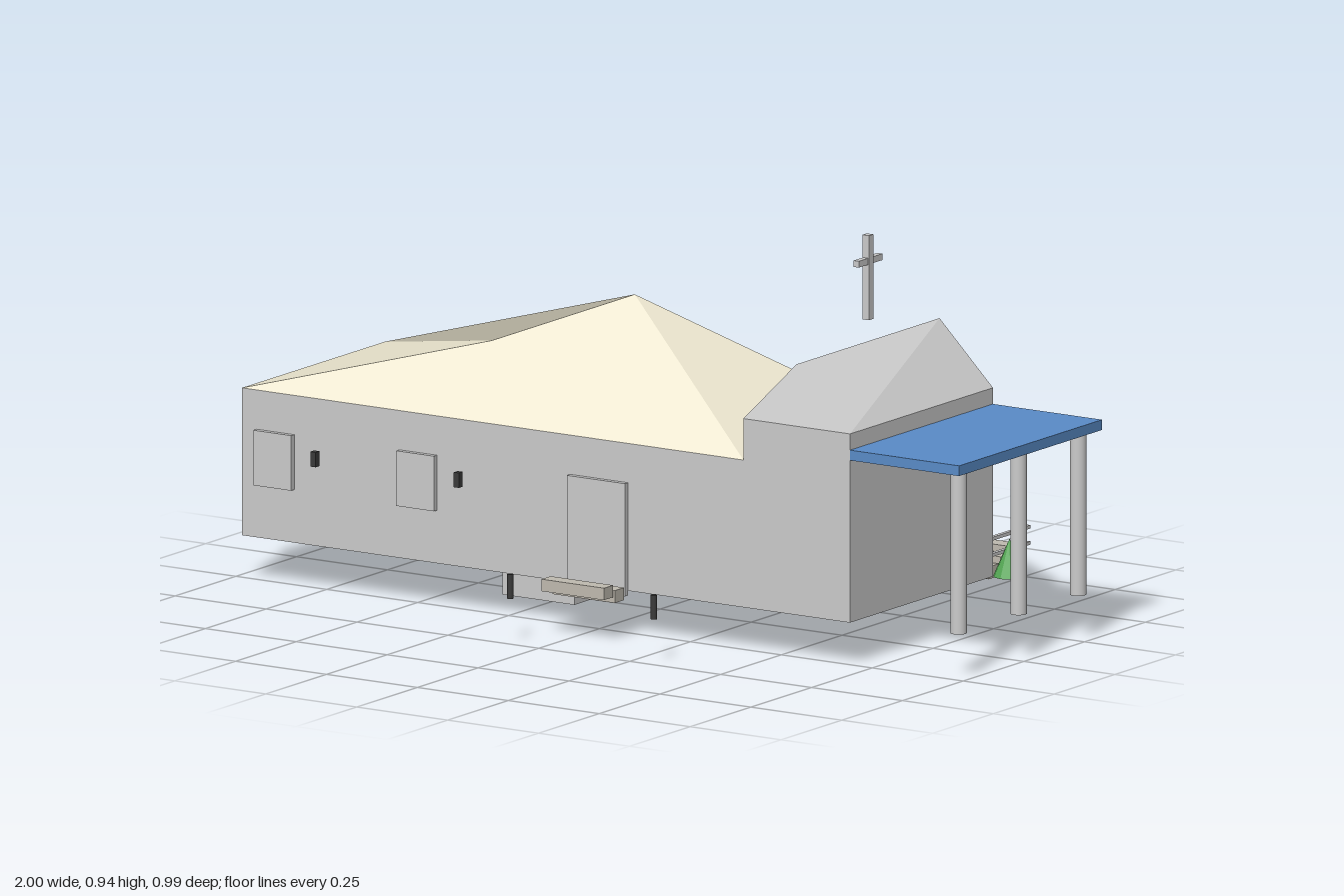
import * as THREE from 'three';

const mat = (color, extra = {}) => new THREE.MeshStandardMaterial({ color, ...extra });
const GREY = mat(0xcccccc), CREAM = mat(0xece6cf), BLUE = mat(0x5a8cc8), STONE = mat(0xc0bbb0);
const DARK = mat(0x3a3a3a), WOOD = mat(0xb07a45), PURPLE = mat(0x9a70c8);
const GREEN = mat(0x55a855, { flatShading: true });

// Shared depth of the building and ground level of its walls
const FRONT = 0.267, BACK = -0.322, MID = (FRONT + BACK) / 2, BASE = 0.103;

export function createModel() {
  const root = new THREE.Group();
  root.name = 'chapel';

  const add = (name, geometry, material, x = 0, y = 0, z = 0) => {
    const mesh = new THREE.Mesh(geometry, material);
    mesh.name = name;
    mesh.position.set(x, y, z);
    root.add(mesh);
    return mesh;
  };
  // Box given by its extents on each axis
  const box = (name, material, [x0, x1], [y0, y1], [z0, z1]) =>
    add(name, new THREE.BoxGeometry(x1 - x0, y1 - y0, z1 - z0), material,
      (x0 + x1) / 2, (y0 + y1) / 2, (z0 + z1) / 2);

  // Roof of two bent quads and two triangles, one shading normal per face
  const roof = (name, material, x0, x1, xr, eave, top) => {
    const fl = new THREE.Vector3(x0, eave, FRONT), fr = new THREE.Vector3(x1, eave, FRONT);
    const bl = new THREE.Vector3(x0, eave, BACK), br = new THREE.Vector3(x1, eave, BACK);
    const rf = new THREE.Vector3(xr, top, FRONT), rb = new THREE.Vector3(xr, top, BACK);
    const faces = [
      [[fl, fr, rf], [fr, rb, rf]],
      [[br, bl, rb], [bl, rf, rb]],
      [[bl, fl, rf]],
      [[fr, br, rb]],
      [[fl, bl, br], [fl, br, fr]],
    ];
    const positions = [], normals = [];
    for (const face of faces) {
      const normal = new THREE.Vector3();
      for (const [a, b, c] of face) {
        normal.add(b.clone().sub(a).cross(c.clone().sub(a)));
      }
      normal.normalize();
      for (const p of face.flat()) {
        positions.push(p.x, p.y, p.z);
        normals.push(normal.x, normal.y, normal.z);
      }
    }
    const geometry = new THREE.BufferGeometry();
    geometry.setAttribute('position', new THREE.Float32BufferAttribute(positions, 3));
    geometry.setAttribute('normal', new THREE.Float32BufferAttribute(normals, 3));
    add(name, geometry, material);
  };

  // Hall, tower and the block underneath
  box('hallWalls', GREY, [-0.972, 0.407], [BASE, 0.448], [BACK, FRONT]);
  roof('hallRoof', CREAM, -0.972, 0.407, -0.285, 0.448, 0.643);
  box('towerWalls', GREY, [0.407, 0.7], [BASE, 0.545], [BACK, FRONT]);
  roof('towerRoof', GREY, 0.407, 0.7, 0.553, 0.545, 0.69);
  box('foundationBlock', GREY, [-0.385, -0.188], [0, BASE], [-0.125, 0.072]);

  // Cross above the tower
  box('crossUpright', GREY, [0.544, 0.562], [0.742, 0.94], [-0.036, -0.018]);
  box('crossArm', GREY, [0.546, 0.56], [0.872, 0.887], [-0.076, 0.021]);

  // Side canopy on three round pillars
  box('canopy', BLUE, [0.7, 1], [0.483, 0.507], [BACK, FRONT]);
  for (const z of [0.219, MID, -0.273]) {
    add('canopyPillar', new THREE.CylinderGeometry(0.019, 0.019, 0.38, 24), GREY, 0.967, 0.293, z);
  }

  // Windows on the front and left-hand end
  for (const x of [-0.88, -0.487]) {
    box('frontWindow', GREY, [x - 0.052, x + 0.052], [0.227, 0.356], [FRONT, 0.28]);
  }
  for (const z of [-0.18, 0.115]) {
    box('endWindow', GREY, [-0.986, -0.972], [0.227, 0.356], [z - 0.052, z + 0.052]);
  }

  // Wall lamps
  for (const x of [-0.758, -0.364]) {
    box('frontLamp', DARK, [x - 0.007, x + 0.007], [0.294, 0.329], [0.279, 0.295]);
  }
  for (const z of [-0.372, -0.079, 0.215]) {
    box('endLamp', DARK, [-1, -0.977], [0.294, 0.329], [z - 0.007, z + 0.007]);
  }

  // Front door, steps and path posts
  box('frontDoor', GREY, [-0.07, 0.09], [0.092, 0.356], [FRONT, 0.28]);
  box('frontStep', STONE, [-0.075, 0.097], [0.087, 0.116], [0.294, 0.332]);
  box('frontStep', STONE, [-0.075, 0.097], [0.102, 0.13], [0.339, 0.377]);
  for (const x of [-0.088, 0.307]) {
    add('pathPost', new THREE.CylinderGeometry(0.0075, 0.0075, 0.057, 12), DARK, x, 0.132, 0.486);
  }

  // Back entrance: door, shutters and arched trim
  const doorX = 0.552;
  box('backDoor', GREY, [doorX - 0.06, doorX + 0.06], [0.098, 0.422], [-0.334, BACK]);
  for (const side of [-1, 1]) {
    const x = doorX + side * 0.075;
    box('doorShutter', WOOD, [x - 0.014, x + 0.014], [BASE, 0.358], [-0.335, BACK]);
  }
  const arch = new THREE.Shape([
    [-0.062, 0], [-0.052, 0], [-0.043, 0.017], [0.043, 0.017],
    [0.052, 0], [0.062, 0], [0.05, 0.026], [-0.05, 0.026],
  ].map(([x, y]) => new THREE.Vector2(x, y)));
  add('doorTrim', new THREE.ExtrudeGeometry(arch, { depth: 0.012, bevelEnabled: false }),
    PURPLE, doorX, 0.421, -0.334);

  // Back steps, rising outwards
  for (let i = 0; i < 3; i++) {
    const y = 0.087 + i * 0.0145, z = -0.352 - i * 0.049;
    box('backStep', STONE, [0.437, 0.668], [y, y + 0.029], [z - 0.042, z]);
  }

  // Handrails and small trees either side of the back steps
  for (const side of [-1, 1]) {
    const x = doorX + side * 0.14;
    for (const y of [0.152, 0.19]) {
      box('handrail', GREY, [x - 0.005, x + 0.005], [y - 0.004, y + 0.004], [-0.481, BACK]);
    }
    add('tree', new THREE.ConeGeometry(0.038, 0.088, 10), GREEN, doorX + side * 0.18, 0.148, -0.342);
  }

  return root;
}
